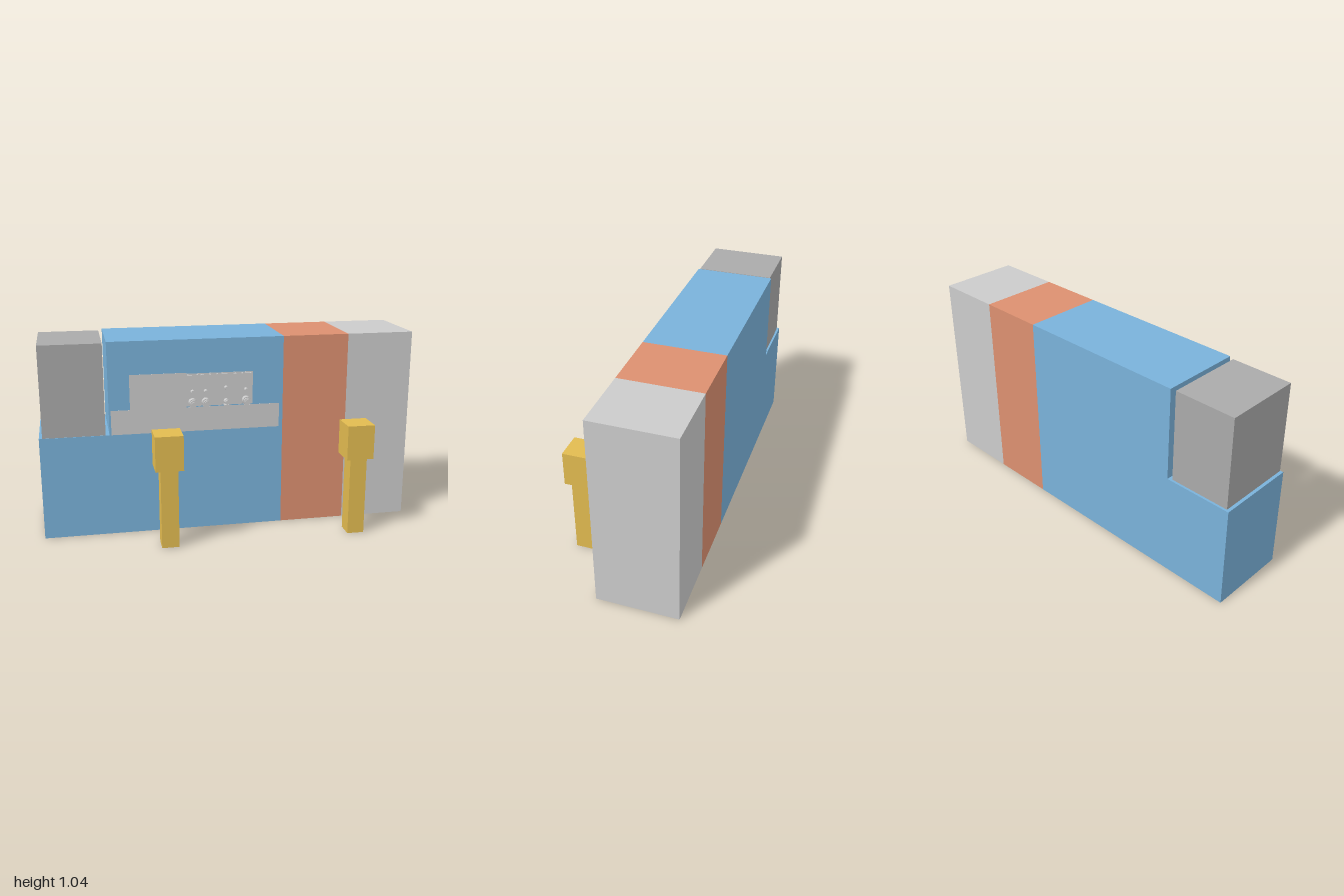
import * as THREE from 'three';

const mat = (color) => new THREE.MeshStandardMaterial({ color });

export function createModel() {
  const root = new THREE.Group();
  const grey = mat(0xcccccc), darkGrey = mat(0xaaaaaa), blue = mat(0x7ab2da);
  const orange = mat(0xdc9070), yellow = mat(0xe2bb50);

  const add = (name, geometry, material, parent = root) => {
    const mesh = new THREE.Mesh(geometry, material);
    mesh.name = name;
    parent.add(mesh);
    return mesh;
  };

  // box given by its lower and upper limits on each axis
  const box = (name, material, [x0, x1], [y0, y1], [z0, z1], parent = root) => {
    const mesh = add(name, new THREE.BoxGeometry(x1 - x0, y1 - y0, z1 - z0), material, parent);
    mesh.position.set((x0 + x1) / 2, (y0 + y1) / 2, (z0 + z1) / 2);
    return mesh;
  };

  // cylinder lying along z, starting at z0
  const pin = (name, x, y, radius, z0, z1, parent) => {
    const g = new THREE.CylinderGeometry(radius, radius, z1 - z0, 20).rotateX(Math.PI / 2);
    add(name, g, grey, parent).position.set(x, y, (z0 + z1) / 2);
  };

  const back = -0.345, front = 0.08, top = 1.04;

  // stepped main body
  const outline = new THREE.Shape([
    [-1, 0], [0.285, 0], [0.285, top], [-0.64, top], [-0.64, 0.55], [-1, 0.55],
  ].map(([x, y]) => new THREE.Vector2(x, y)));
  add('mainBody', new THREE.ExtrudeGeometry(outline, { depth: front - back, bevelEnabled: false }), blue)
    .position.z = back;

  // full-height sections and the unit standing on the step
  box('middleSection', orange, [0.285, 0.64], [0, top], [back, front]);
  box('endSection', grey, [0.64, 1], [0, top], [back, front]);
  box('stepUnit', darkGrey, [-0.983, -0.66], [0.55, 1.033], [-0.333, 0.077]);

  // thin plates on the front face
  const plateZ = [front - 0.01, front + 0.001];
  box('ledgePlate', grey, [-0.63, 0.265], [0.55, 0.68], plateZ);
  box('blankPanel', grey, [-0.53, -0.235], [0.68, 0.865], plateZ);
  box('controlPanel', grey, [-0.235, 0.12], [0.685, 0.86], plateZ);

  // controls: large knob, small button and a thin handle in each column
  const columns = [
    { x: -0.203, r: 0.022, bar: [-0.23, -0.175] },
    { x: -0.133, r: 0.022, bar: [-0.16, -0.108] },
    { x: -0.024, r: 0.013, bar: [-0.075, 0.028] },
    { x: 0.083, r: 0.022, bar: [0.058, 0.11] },
  ];
  for (const { x, r, bar } of columns) {
    const control = new THREE.Group();
    control.name = 'control';
    root.add(control);
    pin('knobBase', x, 0.707, r, front, 0.112, control);
    pin('knobCollar', x, 0.707, r * 0.8, 0.112, 0.124, control);
    pin('knobTip', x, 0.707, r * 0.5, 0.124, 0.13, control);
    box('knobStop', grey, [x - 0.013, x + 0.013], [0.684, 0.69], [front, 0.105], control);
    pin('button', x, x === -0.024 ? 0.779 : 0.764, 0.01, front, 0.109, control);
    box('handleBar', grey, bar, [0.851, 0.856], [0.098, 0.104], control);
    for (const end of [bar[0], bar[1] - 0.006])
      box('handleLeg', grey, [end, end + 0.006], [0.851, 0.856], [front, 0.1], control);
  }

  // free-standing posts with square heads
  for (const x of [-0.361, 0.639]) {
    const post = new THREE.Group();
    post.name = 'post';
    root.add(post);
    box('postShaft', yellow, [x - 0.045, x + 0.045], [0, 0.422], [0.23, 0.322], post);
    box('postHead', yellow, [x - 0.072, x + 0.072], [0.422, 0.605], [0.203, 0.346], post);
  }

  return root;
}
